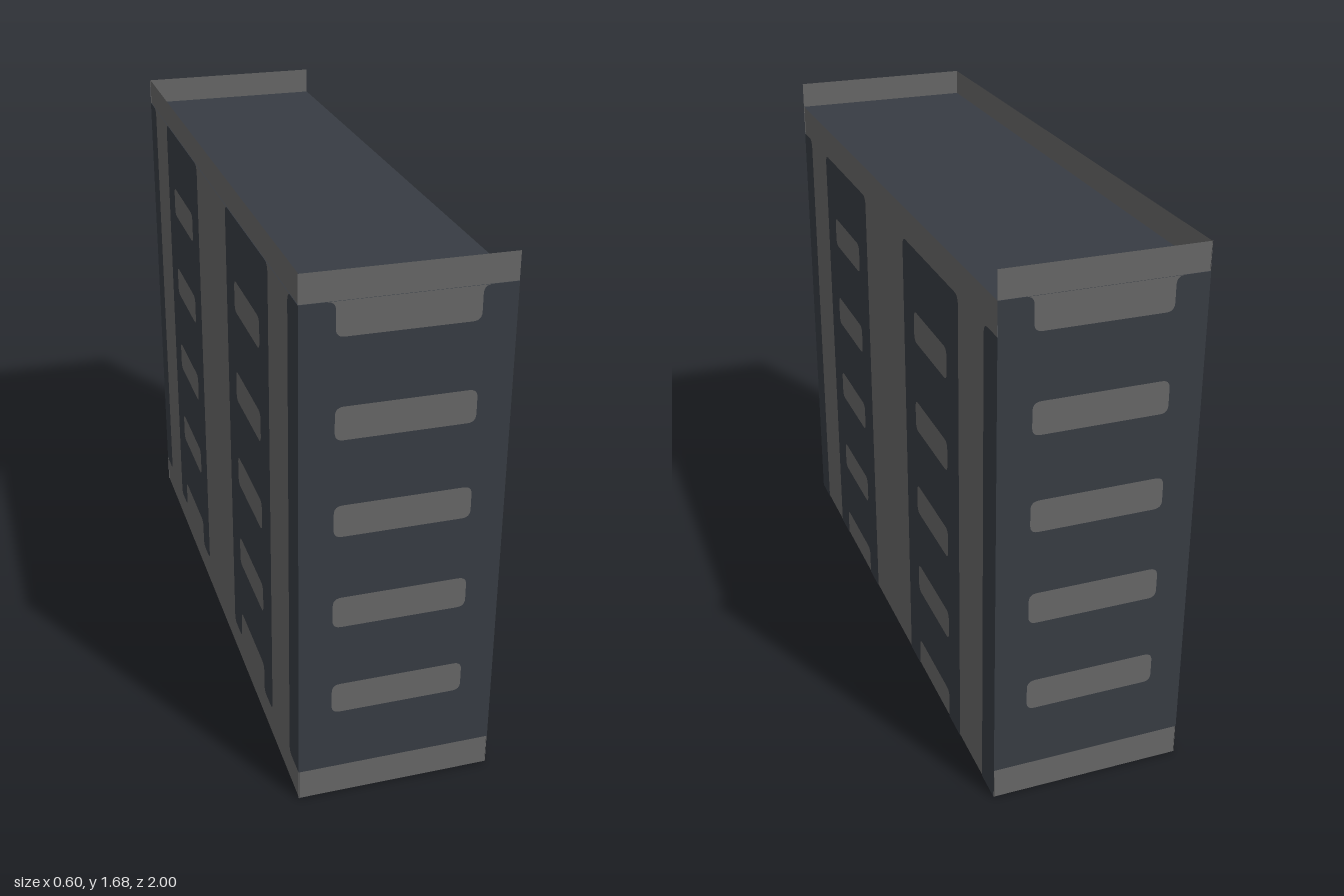
import * as THREE from 'three';

const HALF_W = 0.3, HALF_L = 1, ROOF = 1.6, PARAPET = 1.684, SKIN = 0.002;

// Fill a path from [x, y, cornerRadius] points, rounding the corners
function trace(path, points) {
  const n = points.length;
  const toward = (a, b, r) => {
    const d = Math.hypot(b[0] - a[0], b[1] - a[1]);
    return [a[0] + (b[0] - a[0]) * r / d, a[1] + (b[1] - a[1]) * r / d];
  };
  points.forEach((p, i) => {
    const r = p[2] || 0;
    const start = toward(p, points[(i + n - 1) % n], r);
    const end = toward(p, points[(i + 1) % n], r);
    if (i === 0) path.moveTo(...start); else path.lineTo(...start);
    if (r) path.quadraticCurveTo(p[0], p[1], ...end);
  });
  path.closePath();
  return path;
}

const windowHole = (x0, x1, y0) => trace(new THREE.Path(), [
  [x0, y0, 0.025], [x1, y0, 0.025], [x1, y0 + 0.1, 0.025], [x0, y0 + 0.1, 0.025]]);

export function createModel() {
  const concrete = new THREE.MeshStandardMaterial({ color: 0x666666, side: THREE.DoubleSide });
  concrete.name = 'concrete grey';
  const slate = new THREE.MeshStandardMaterial({ color: 0x373c43 });
  slate.name = 'slate';
  const purple = new THREE.MeshStandardMaterial({ color: 0x800080 });
  purple.name = 'underside purple';

  const model = new THREE.Group();
  model.name = 'building';

  function addMesh(parent, name, geometry, material) {
    const mesh = new THREE.Mesh(geometry, material);
    mesh.name = name;
    parent.add(mesh);
    return mesh;
  }

  // A flat wall facing its local +z, with thin cladding panels in front
  function addWall(name, width, height, distance, angle, panels) {
    const wall = new THREE.Group();
    wall.name = name;
    wall.rotation.y = angle;
    const plane = new THREE.PlaneGeometry(width, height);
    plane.translate(0, height / 2, distance - SKIN);
    addMesh(wall, name + 'Surface', plane, concrete);
    panels.forEach((shape, i) => {
      const geometry = new THREE.ShapeGeometry(shape, 6);
      geometry.translate(0, 0, distance);
      addMesh(wall, name + 'Panel' + (i + 1), geometry, slate);
    });
    model.add(wall);
  }

  // End walls: one wide panel, notched at the top by the highest window
  function endPanel() {
    const shape = trace(new THREE.Shape(), [
      [-HALF_W, 0.1], [HALF_W, 0.1], [HALF_W, 1.6], [0.2, 1.6, 0.025],
      [0.2, 1.5, 0.025], [-0.2, 1.5, 0.025], [-0.2, 1.6, 0.025], [-HALF_W, 1.6]]);
    for (let i = 0; i < 4; i++) shape.holes.push(windowHole(-0.2, 0.2, 0.3 + i * 0.3));
    return shape;
  }

  // Side walls: two window panels and two corner strips, raised by base
  function sidePanels(base) {
    const foot = base > 0 ? 0.025 : 0;
    const top = base + 1.5;
    const shapes = [];
    for (const s of [-1, 1]) {
      const panel = trace(new THREE.Shape(), [
        [s * 0.2, base, foot], [s * 0.3, base, foot], [s * 0.3, base + 0.1, 0.025],
        [s * 0.6, base + 0.1, 0.025], [s * 0.6, base, foot], [s * 0.7, base, foot],
        [s * 0.7, top, 0.03], [s * 0.2, top, 0.03]]);
      for (let i = 1; i < 5; i++) {
        panel.holes.push(windowHole(...(s < 0 ? [-0.6, -0.3] : [0.3, 0.6]), base + i * 0.3));
      }
      shapes.push(panel, trace(new THREE.Shape(), [
        [s * 0.9, base, foot], [s * HALF_L, base], [s * HALF_L, top], [s * 0.9, top, 0.03]]));
    }
    return shapes;
  }

  // Three walls rise past the roof as parapets; the left one stops at it
  addWall('frontWall', HALF_W * 2, PARAPET, HALF_L, 0, [endPanel()]);
  addWall('backWall', HALF_W * 2, PARAPET, HALF_L, Math.PI, [endPanel()]);
  addWall('leftWall', HALF_L * 2, ROOF, HALF_W, Math.PI / 2, sidePanels(0));
  addWall('rightWall', HALF_L * 2, PARAPET, HALF_W, -Math.PI / 2, sidePanels(0.1));

  // Roof deck and underside
  const deck = new THREE.PlaneGeometry(HALF_W * 2, HALF_L * 2);
  const roof = addMesh(model, 'roof', deck, slate);
  roof.rotation.x = -Math.PI / 2;
  roof.position.y = ROOF;
  const underside = addMesh(model, 'underside', deck, purple);
  underside.rotation.x = Math.PI / 2;

  return model;
}
